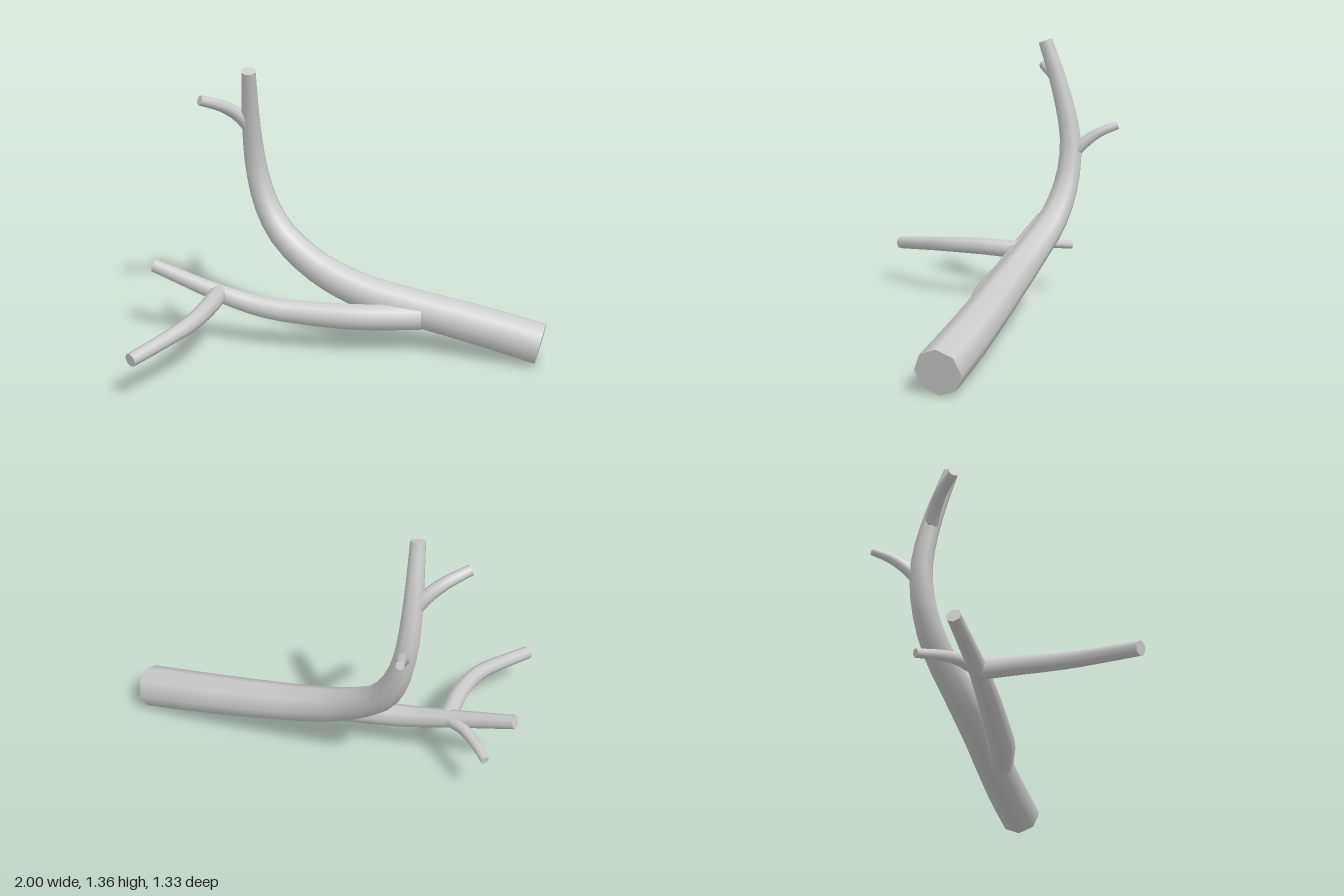
import * as THREE from 'three';

const SIDES = 8;

// Tapered limb: a tube along a smooth path, closed with flat cut ends
function limb(name, points, radii, steps) {
  const curve = new THREE.CatmullRomCurve3(points.map(p => new THREE.Vector3(...p)));
  const { normals, binormals } = curve.computeFrenetFrames(steps);
  const pos = [], nor = [], index = [];
  const radiusAt = t => {
    const f = t * (radii.length - 1);
    const i = Math.min(Math.floor(f), radii.length - 2);
    return THREE.MathUtils.lerp(radii[i], radii[i + 1], f - i);
  };
  const ring = i => {
    const c = curve.getPointAt(i / steps), r = radiusAt(i / steps);
    return Array.from({ length: SIDES + 1 }, (_, j) => {
      const a = j / SIDES * Math.PI * 2;
      const n = normals[i].clone().multiplyScalar(Math.cos(a)).addScaledVector(binormals[i], Math.sin(a));
      return { n, p: c.clone().addScaledVector(n, r) };
    });
  };
  const push = (p, n) => { pos.push(p.x, p.y, p.z); nor.push(n.x, n.y, n.z); };

  // Bark
  const w = SIDES + 1;
  for (let i = 0; i <= steps; i++) {
    ring(i).forEach(v => push(v.p, v.n));
    if (i === steps) break;
    for (let j = 0; j < SIDES; j++) {
      const a = i * w + j, b = a + w;
      index.push(a, a + 1, b, a + 1, b + 1, b);
    }
  }
  // Cut ends
  for (const end of [0, 1]) {
    const n = curve.getTangentAt(end).multiplyScalar(end ? 1 : -1);
    const c = pos.length / 3;
    push(curve.getPointAt(end), n);
    ring(end * steps).forEach(v => push(v.p, n));
    for (let j = 1; j <= SIDES; j++) {
      if (end) index.push(c, c + j, c + j + 1);
      else index.push(c, c + j + 1, c + j);
    }
  }
  const geo = new THREE.BufferGeometry();
  geo.setAttribute('position', new THREE.Float32BufferAttribute(pos, 3));
  geo.setAttribute('normal', new THREE.Float32BufferAttribute(nor, 3));
  geo.setIndex(index);
  const mesh = new THREE.Mesh(geo, new THREE.MeshStandardMaterial({ color: 0xcccccc }));
  mesh.name = name;
  return mesh;
}

export function createModel() {
  const group = new THREE.Group();
  group.name = 'branch';
  group.add(
    // Main stem, lying low and then sweeping upright
    limb('mainStem', [
      [0.93, 0.105, 0.58], [0.7, 0.165, 0.375], [0.45, 0.225, 0.17], [0.25, 0.285, 0], [0.1, 0.37, -0.16],
      [-0.02, 0.51, -0.33], [-0.075, 0.66, -0.415], [-0.105, 0.82, -0.45],
      [-0.125, 0.95, -0.445], [-0.155, 1.15, -0.405], [-0.185, 1.355, -0.345],
    ], [0.106, 0.102, 0.096, 0.088, 0.075, 0.06, 0.048, 0.036], 28),
    // Side branch, low and nearly level
    limb('sideBranch', [
      [0.46, 0.193, 0.235], [0.2, 0.192, 0.11], [0, 0.198, -0.015],
      [-0.2, 0.217, -0.145], [-0.38, 0.27, -0.285], [-0.635, 0.375, -0.52],
    ], [0.066, 0.068, 0.063, 0.053, 0.042, 0.034], 18),
    // Offshoots of the side branch
    limb('longOffshoot', [
      [-0.385, 0.27, -0.285], [-0.5, 0.278, -0.13], [-0.65, 0.268, 0.01],
      [-0.8, 0.247, 0.085], [-0.985, 0.22, 0.163],
    ], [0.047, 0.043, 0.036, 0.033], 12),
    limb('shortOffshoot', [
      [-0.385, 0.275, -0.3], [-0.425, 0.283, -0.4], [-0.445, 0.275, -0.5], [-0.457, 0.257, -0.612],
    ], [0.032, 0.027, 0.021], 8),
    // Twigs on the upright part
    limb('upperTwig', [
      [-0.145, 1.05, -0.425], [-0.2, 1.115, -0.432], [-0.28, 1.17, -0.434], [-0.405, 1.217, -0.428],
    ], [0.036, 0.031, 0.025], 8),
    limb('lowerTwig', [
      [-0.09, 0.82, -0.47], [-0.07, 0.865, -0.515], [-0.045, 0.91, -0.575], [-0.012, 0.945, -0.66],
    ], [0.034, 0.027, 0.02], 8),
  );
  return group;
}
